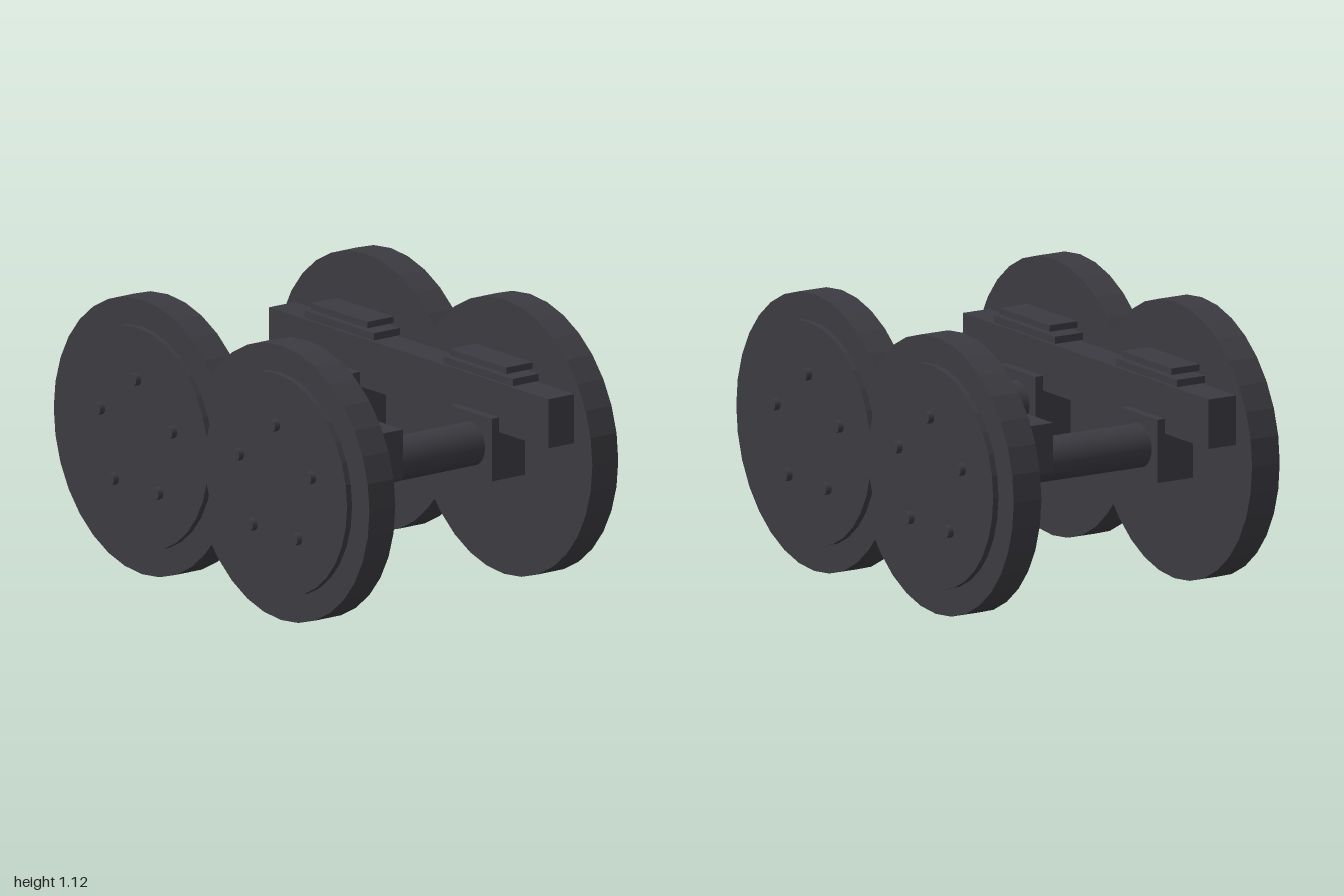
import * as THREE from 'three';

const WHEEL_X = 0.44, WHEEL_Y = 0.5625;

// Outline of two merged 32-sided discs, centred on (+-WHEEL_X, WHEEL_Y)
function doubleDisc(radius) {
  const cusp = Math.sqrt(radius * radius - WHEEL_X * WHEEL_X);
  const right = [];
  for (let i = -16; i < 16; i++) {
    const a = (i / 16) * Math.PI;
    const x = WHEEL_X + radius * Math.cos(a);
    if (x > 0.005) right.push(new THREE.Vector2(x, WHEEL_Y + radius * Math.sin(a)));
  }
  const left = right.map((p) => new THREE.Vector2(-p.x, p.y)).reverse();
  return new THREE.Shape([
    new THREE.Vector2(0, WHEEL_Y - cusp), ...right,
    new THREE.Vector2(0, WHEEL_Y + cusp), ...left,
  ]);
}

export function createModel() {
  const model = new THREE.Group();
  model.name = 'wheelTruck';
  const iron = new THREE.MeshStandardMaterial({ color: 0x3c3b41 });
  iron.name = 'dark iron';

  const add = (parent, name, geometry, x = 0, y = 0, z = 0) => {
    const mesh = new THREE.Mesh(geometry, iron);
    mesh.name = name;
    mesh.position.set(x, y, z);
    parent.add(mesh);
    return mesh;
  };
  // Box given by its x centre, width, and y and z ranges
  const addBox = (parent, name, x, w, y0, y1, z0, z1) =>
    add(parent, name, new THREE.BoxGeometry(w, y1 - y0, z1 - z0), x, (y0 + y1) / 2, (z0 + z1) / 2);
  const slab = (radius, depth) =>
    new THREE.ExtrudeGeometry(doubleDisc(radius), { depth, bevelEnabled: false });
  const rod = (radius, length, sides) =>
    new THREE.CylinderGeometry(radius, radius, length, sides).rotateX(Math.PI / 2);

  // The two sides are the same assembly turned half a turn
  for (const side of [0, 1]) {
    const frame = new THREE.Group();
    frame.name = side ? 'backSide' : 'frontSide';
    frame.rotation.y = side * Math.PI;
    model.add(frame);

    add(frame, 'wheelPair', slab(0.56, 0.13), 0, 0, 0.495);
    add(frame, 'wheelFace', slab(0.45, 0.03), 0, 0, 0.62);
    addBox(frame, 'sideBeam', 0, 1.77, 0.63, 0.83, 0.365, 0.5);

    for (const x of [-WHEEL_X, WHEEL_X]) {
      addBox(frame, 'axleBox', x, 0.265, 0.435, 0.69, 0.33, 0.5);
      // Separated leaves above the beam
      addBox(frame, 'lowerSpringLeaf', x, 0.44, 0.836, 0.865, 0.365, 0.5);
      addBox(frame, 'upperSpringLeaf', x, 0.36, 0.877, 0.903, 0.365, 0.5);
      // Ring of five bolts
      for (let i = 0; i < 5; i++) {
        const a = (i / 5) * Math.PI * 2;
        add(frame, 'bolt', rod(0.025, 0.03, 16),
          x + 0.24 * Math.sin(a), WHEEL_Y + 0.24 * Math.cos(a), 0.66);
      }
    }
  }

  // Axles running between the axle boxes
  for (const x of [-WHEEL_X, WHEEL_X]) add(model, 'axle', rod(0.088, 0.68, 32), x, WHEEL_Y, 0);

  return model;
}
